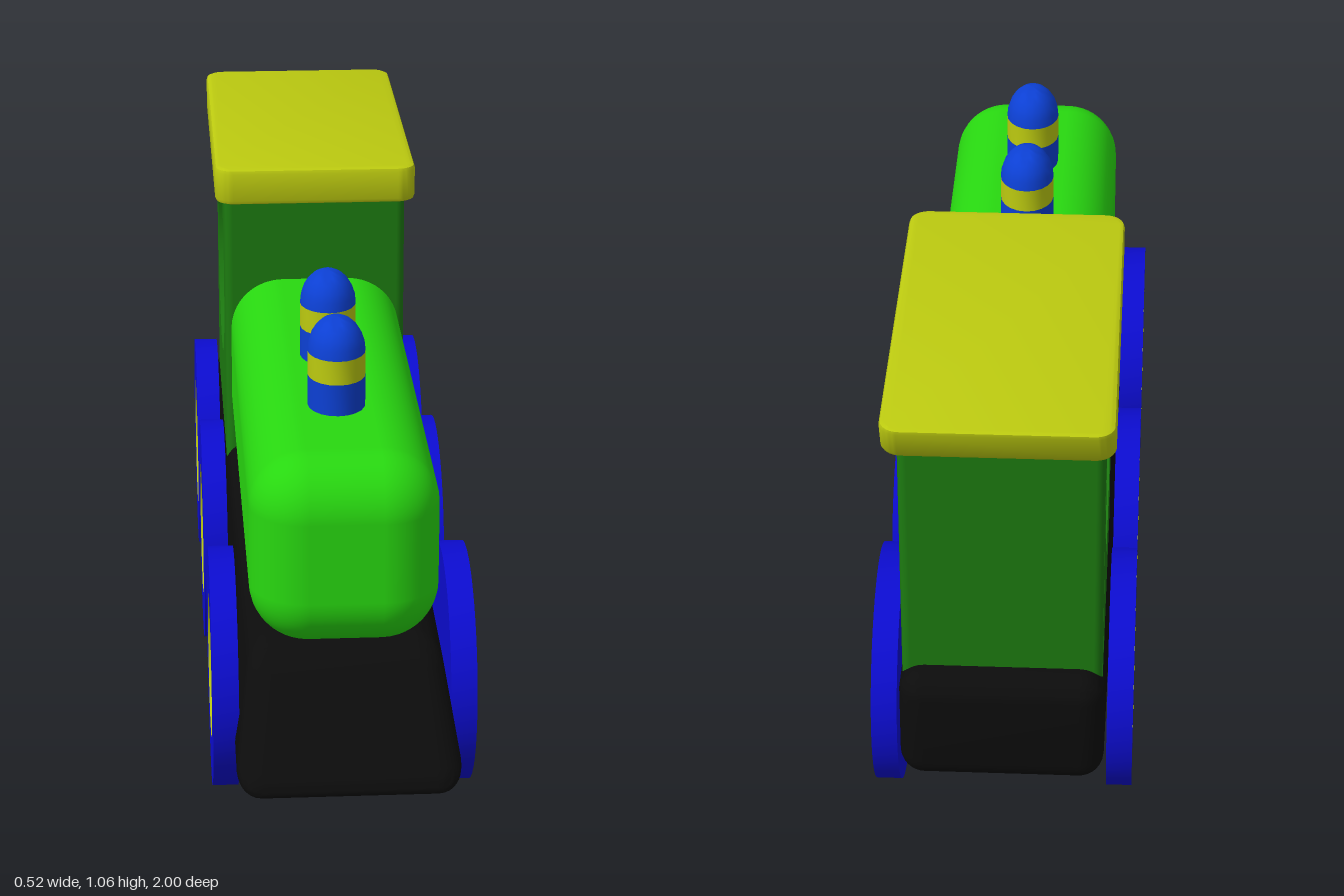
import * as THREE from 'three';
import { toCreasedNormals } from 'three/addons/utils/BufferGeometryUtils.js';
import { RoundedBoxGeometry } from 'three/addons/geometries/RoundedBoxGeometry.js';

const paint = (color) => {
  const m = new THREE.MeshStandardMaterial();
  m.color.set(color);
  return m;
};
const lime = paint(0x28d810), green = paint(0x1c7a10), yellow = paint(0xbcca10);
const blue = paint(0x0c0cd0), skyBlue = paint(0x0c40d4), black = paint(0x0c0c0c);

function add(parent, name, geometry, material, x = 0, y = 0, z = 0) {
  const mesh = new THREE.Mesh(geometry, material);
  mesh.name = name;
  mesh.position.set(x, y, z);
  parent.add(mesh);
  return mesh;
}

// Move every vertex by a rule, then refresh the normals
function reshape(geometry, rule, crease = 0.6) {
  const g = geometry.index ? geometry.toNonIndexed() : geometry;
  const p = g.attributes.position, v = new THREE.Vector3();
  for (let i = 0; i < p.count; i++) {
    rule(v.fromBufferAttribute(p, i));
    p.setXYZ(i, v.x, v.y, v.z);
  }
  g.computeVertexNormals();
  return toCreasedNormals(g, crease);
}

const lathe = (points, segments) => toCreasedNormals(
  new THREE.LatheGeometry(points.map(([r, y]) => new THREE.Vector2(r, y)), segments), 0.6);

function roundedRect(w, h, r) {
  const s = new THREE.Shape(), q = Math.PI / 2;
  s.absarc(w / 2 - r, h / 2 - r, r, 0, q);
  s.absarc(-w / 2 + r, h / 2 - r, r, q, 2 * q);
  s.absarc(-w / 2 + r, -h / 2 + r, r, 2 * q, 3 * q);
  s.absarc(w / 2 - r, -h / 2 + r, r, 3 * q, 4 * q);
  s.closePath();
  return s;
}

// Rounded beam whose front slopes forward and flares at the bottom
function chassisGeometry() {
  const box = new RoundedBoxGeometry(0.41, 0.25, 1.715, 4, 0.05);
  box.translate(0, 0.275, -0.0475);
  return reshape(box, (v) => {
    if (v.z < 0) return;
    const drop = (0.4 - v.y) / 0.25;
    v.x *= 0.91 + 0.2 * drop;
    v.z += 0.22 * drop;
  });
}

// Roof slab with its rear edge leaning backwards
function roofGeometry() {
  const slab = new THREE.ExtrudeGeometry(roundedRect(0.42, 0.765, 0.03), {
    depth: 0.06, bevelThickness: 0.01, bevelSize: 0.01, bevelSegments: 2, curveSegments: 5,
  });
  slab.rotateX(-Math.PI / 2).translate(0, 0.99, -0.5725);
  return reshape(slab, (v) => {
    if (v.z < -0.57) v.z -= 0.035 * (v.y - 0.98) / 0.08;
  });
}

// Cab side panel with a round window
function cabSideGeometry() {
  const panel = new THREE.Shape();
  panel.moveTo(-0.83, 0.35).lineTo(-0.25, 0.35).lineTo(-0.25, 0.985).lineTo(-0.83, 0.985).closePath();
  const hole = new THREE.Path();
  hole.absarc(-0.545, 0.751, 0.229, 0, Math.PI * 2, true);
  panel.holes.push(hole);
  const g = new THREE.ExtrudeGeometry(panel, { depth: 0.03, bevelEnabled: false, curveSegments: 32 });
  g.translate(0, 0, -0.015).rotateY(-Math.PI / 2);
  return toCreasedNormals(g, 0.6);
}

export function createModel() {
  const train = new THREE.Group();
  train.name = 'toyTrain';

  add(train, 'chassis', chassisGeometry(), black);
  add(train, 'boiler', new RoundedBoxGeometry(0.374, 0.395, 1.24, 6, 0.115), lime, 0, 0.5925, 0.26);

  // Hollow cab
  const cab = new THREE.Group();
  cab.name = 'cab';
  train.add(cab);
  const endWall = new RoundedBoxGeometry(0.4, 0.64, 0.04, 3, 0.018);
  add(cab, 'cabFront', endWall, green, 0, 0.668, -0.252);
  add(cab, 'cabBack', endWall, green, 0, 0.668, -0.825);
  const side = cabSideGeometry();
  add(cab, 'cabLeft', side, green, 0.185);
  add(cab, 'cabRight', side, green, -0.185);
  add(train, 'roof', roofGeometry(), yellow);

  // Oval domed chimneys with a coloured band
  const dome = [];
  for (let i = 0; i <= 6; i++) {
    const a = i / 6 * Math.PI / 2;
    dome.push([0.058 * Math.cos(a), 0.905 + 0.072 * Math.sin(a)]);
  }
  const stackParts = [
    ['chimneyBase', lathe([[0.058, 0.75], [0.058, 0.855]], 20), skyBlue],
    ['chimneyBand', lathe([[0.058, 0.855], [0.058, 0.905]], 20), yellow],
    ['chimneyDome', lathe(dome, 20), skyBlue],
  ];
  for (const z of [0.53, 0.247]) {
    const chimney = new THREE.Group();
    chimney.name = 'chimney';
    chimney.position.z = z;
    chimney.scale.z = 1.22;
    for (const part of stackParts) add(chimney, ...part);
    train.add(chimney);
  }

  // Wheels: solid blue back and rim, recessed yellow hub
  const tyre = lathe([[0, 0.21], [0.244, 0.21], [0.244, 0.262], [0.147, 0.262]], 48);
  const hub = lathe([[0.147, 0.262], [0.147, 0.23], [0, 0.23]], 48);
  for (const z of [0.59, -0.107, -0.632]) {
    for (const s of [1, -1]) {
      const wheel = new THREE.Group();
      wheel.name = s > 0 ? 'leftWheel' : 'rightWheel';
      add(wheel, 'tyre', tyre, blue);
      add(wheel, 'hub', hub, yellow);
      wheel.rotation.z = -s * Math.PI / 2;
      wheel.position.set(0, 0.244, z);
      train.add(wheel);
    }
  }
  return train;
}
